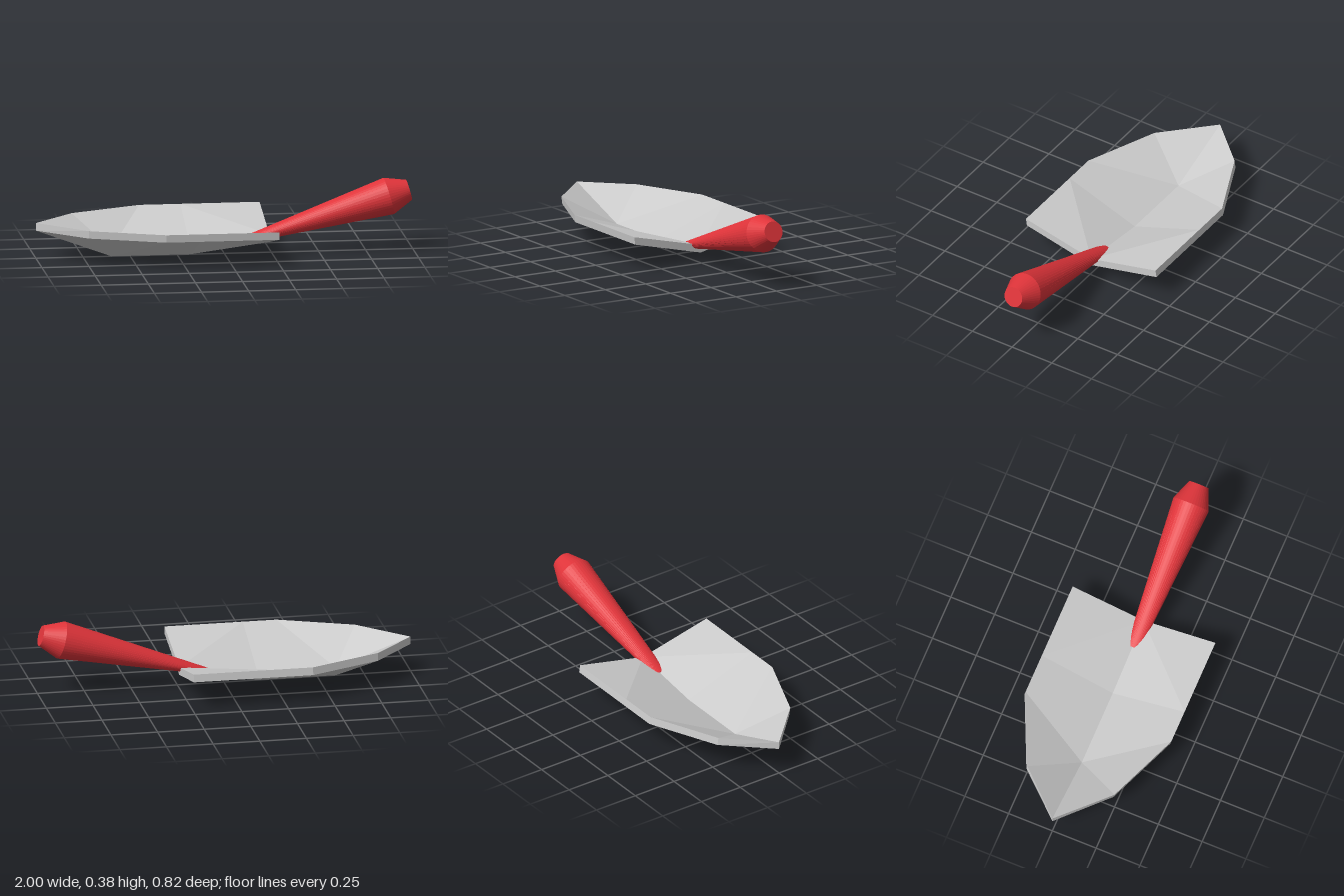
import * as THREE from 'three';

// Thin V-shaped blade: keel points, then the outline of each half
function bladeGeometry() {
  const keel = [[-1, 0.19, 0], [-0.6, 0.042, 0], [-0.18, 0.042, 0], [0.24, 0.097, 0]];
  const leftEdge = [[-0.75, 0.19, 0.25], [-0.36, 0.19, 0.41], [-0.18, 0.19, 0.41], [0.24, 0.19, 0.41]];
  const rightEdge = [[-0.78, 0.19, -0.235], [-0.4, 0.19, -0.405], [-0.18, 0.19, -0.405], [0.24, 0.19, -0.405]];
  const top = [...keel, ...leftEdge, ...rightEdge];
  const bottom = top.map(([x, y, z], i) => [x, y - 0.041, i < 4 ? z : z - 0.006]);

  const positions = [];
  const tri = (a, b, c) => positions.push(...a, ...b, ...c);

  // Upper and lower skins, mirrored across the keel
  const half = [[0, 4, 1], [1, 4, 5], [1, 5, 2], [2, 5, 6], [2, 6, 3], [3, 6, 7]];
  for (const [a, b, c] of half) {
    const [p, q, r] = [a, b, c].map((i) => (i < 4 ? i : i + 4));
    tri(top[a], top[b], top[c]);
    tri(top[p], top[r], top[q]);
    tri(bottom[a], bottom[c], bottom[b]);
    tri(bottom[p], bottom[q], bottom[r]);
  }

  // Rim around the whole outline
  const outline = [0, 4, 5, 6, 7, 3, 11, 10, 9, 8];
  outline.forEach((a, k) => {
    const b = outline[(k + 1) % outline.length];
    tri(bottom[a], bottom[b], top[b]);
    tri(bottom[a], top[b], top[a]);
  });

  const geometry = new THREE.BufferGeometry();
  geometry.setAttribute('position', new THREE.Float32BufferAttribute(positions, 3));
  geometry.computeVertexNormals();
  return geometry;
}

// Round handle whose thin root is flattened where it enters the blade
function handleGeometry() {
  const profile = [[0, 0], [0.038, 0], [0.1, 0.813], [0.055, 0.925], [0, 0.925]]
    .map(([r, h]) => new THREE.Vector2(r, h));
  const geometry = new THREE.LatheGeometry(profile, 40);
  const pos = geometry.attributes.position;
  for (let i = 0; i < pos.count; i++) {
    if (pos.getY(i) < 0.01) pos.setX(i, pos.getX(i) * 0.4);
  }
  geometry.computeVertexNormals();
  return geometry;
}

export function createModel() {
  const model = new THREE.Group();
  model.name = 'trowel';

  const blade = new THREE.Mesh(
    bladeGeometry(),
    new THREE.MeshStandardMaterial({ color: 0xcccccc, flatShading: true })
  );
  blade.name = 'blade';

  const handle = new THREE.Mesh(
    handleGeometry(),
    new THREE.MeshStandardMaterial({ color: 0xe0343a, flatShading: true })
  );
  handle.name = 'handle';
  handle.position.set(0.09, 0.067, 0.005);
  handle.rotation.z = 0.275 - Math.PI / 2;

  model.add(blade, handle);
  return model;
}
